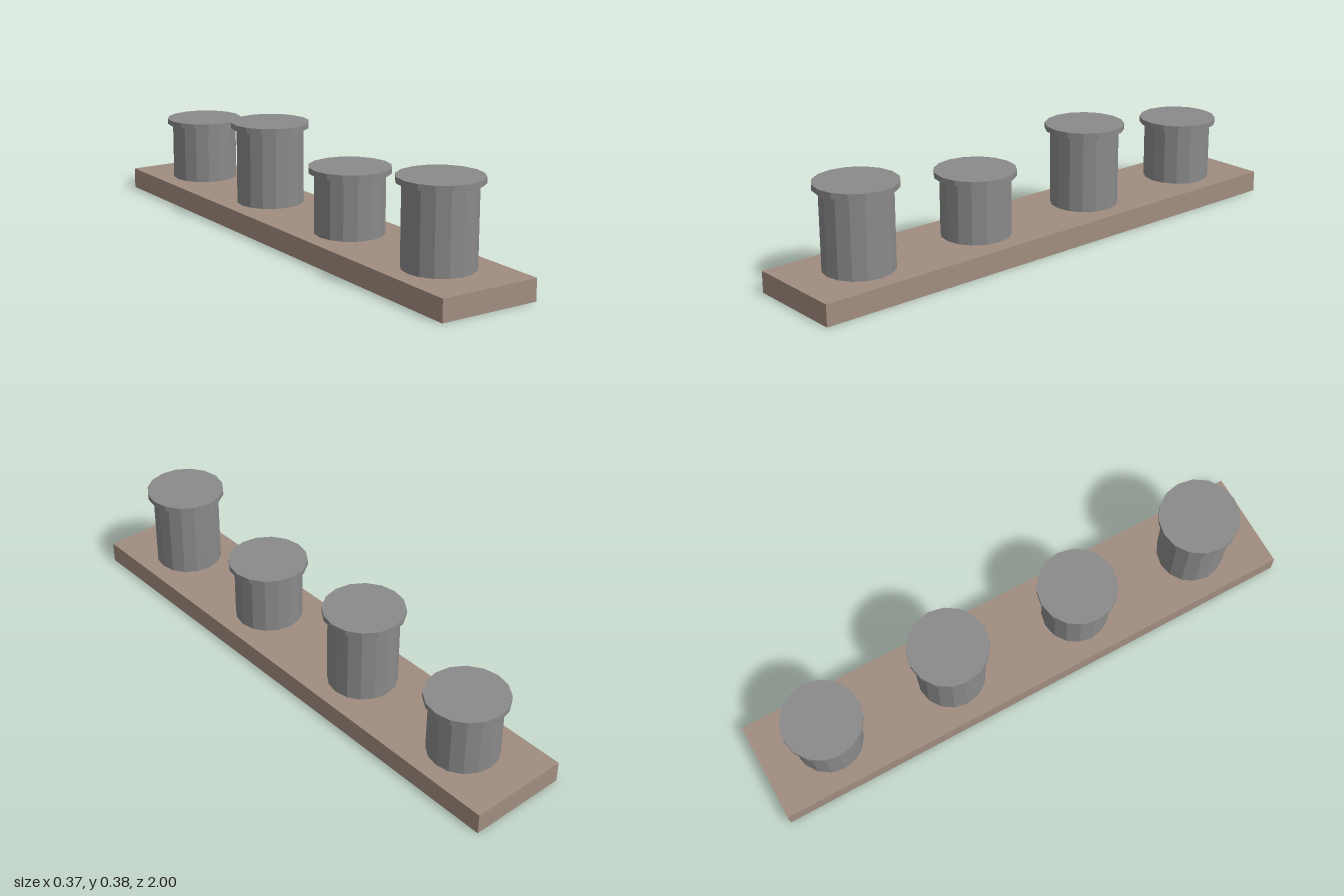
import * as THREE from 'three';

export function createModel() {
  const model = new THREE.Group();
  model.name = 'postsOnPlank';
  const wood = new THREE.MeshStandardMaterial({ color: 0xa18d80 });
  wood.name = 'brown wood';
  const metal = new THREE.MeshStandardMaterial({ color: 0x8a8a8a });
  metal.name = 'grey metal';

  const add = (parent, name, geometry, material, y) => {
    const mesh = new THREE.Mesh(geometry, material);
    mesh.name = name;
    mesh.position.y = y;
    parent.add(mesh);
  };

  // Sixteen-sided drum with one flat normal per facet
  const drum = (radius, height) => {
    const g = new THREE.CylinderGeometry(radius, radius, height, 16).toNonIndexed();
    g.computeVertexNormals();
    return g;
  };

  // Long plank
  const baseTop = 0.077;
  add(model, 'base', new THREE.BoxGeometry(0.37, baseTop, 2), wood, baseTop / 2);

  // Capped posts, alternating tall and short from front to back
  const capHeight = 0.02;
  [[0.747, 0.377], [0.256, 0.31], [-0.256, 0.377], [-0.747, 0.31]].forEach(([z, top], i) => {
    const post = new THREE.Group();
    post.name = `post${i + 1}`;
    post.position.z = z;
    const bodyHeight = top - capHeight - baseTop;
    add(post, 'body', drum(0.124, bodyHeight), metal, baseTop + bodyHeight / 2);
    add(post, 'cap', drum(0.144, capHeight), metal, top - capHeight / 2);
    model.add(post);
  });

  return model;
}
